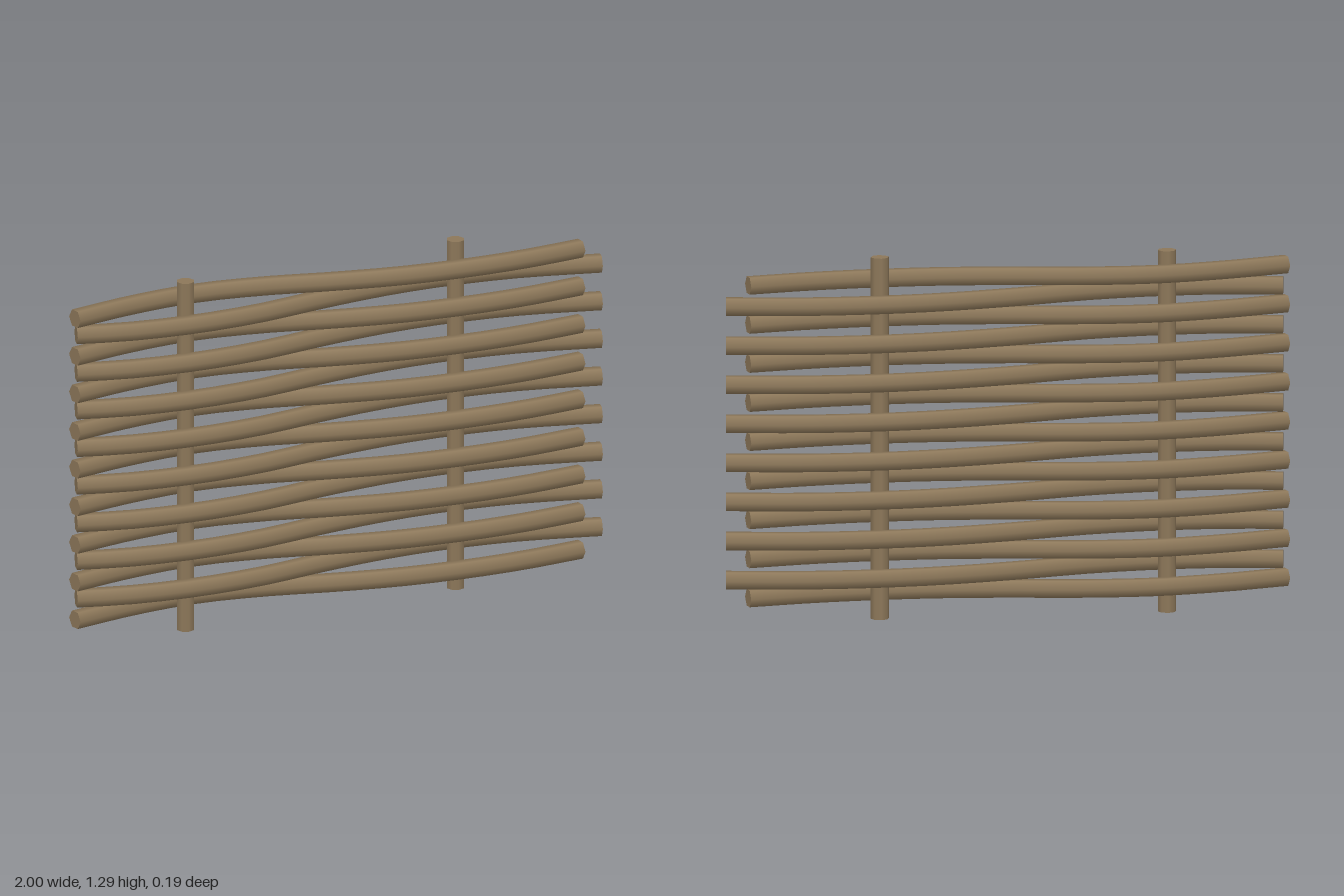
import * as THREE from 'three';

// Bends a six-sided rod lying along x so that it follows a curve in the xz plane
function bentRod(points, radius) {
  const curve = new THREE.CatmullRomCurve3(points.map(([x, z]) => new THREE.Vector3(x, 0, z)));
  const geometry = new THREE.CylinderGeometry(radius, radius, 1, 6, 20);
  geometry.rotateZ(-Math.PI / 2);
  const pos = geometry.attributes.position;
  const nor = geometry.attributes.normal;
  for (let i = 0; i < pos.count; i++) {
    const u = THREE.MathUtils.clamp(pos.getX(i) + 0.5, 0, 1);
    const p = curve.getPointAt(u);
    const t = curve.getTangentAt(u);
    const z = pos.getZ(i);
    pos.setXYZ(i, p.x - t.z * z, pos.getY(i), p.z + t.x * z);
    const nx = nor.getX(i), nz = nor.getZ(i);
    nor.setXYZ(i, t.x * nx - t.z * nz, nor.getY(i), t.z * nx + t.x * nz);
  }
  return geometry;
}

export function createModel() {
  const model = new THREE.Group();
  model.name = 'wovenFence';
  const wood = new THREE.MeshStandardMaterial({ color: 0x8c7759 });
  wood.name = 'brown wood';

  // Upright posts
  for (const [name, x, base] of [['rightPost', -0.565, 0], ['leftPost', 0.45, 0.015]]) {
    const post = new THREE.Mesh(new THREE.CylinderGeometry(0.032, 0.032, 1.28, 8), wood);
    post.name = name;
    post.position.set(x, base + 0.64, -0.002);
    model.add(post);
  }

  // Two alternating weaves, passing on opposite sides of the posts
  const weaves = [
    bentRod([[-0.991, 0.022], [-0.75, -0.035], [-0.5, -0.062], [-0.25, -0.038], [0, 0.013],
      [0.25, 0.05], [0.5, 0.06], [0.7, 0.051], [0.91, 0.024]], 0.034),
    bentRod([[-0.975, -0.005], [-0.8, 0.035], [-0.55, 0.053], [-0.3, 0.035], [-0.05, -0.015],
      [0.2, -0.053], [0.43, -0.064], [0.7, -0.045], [0.991, 0.014]], 0.034),
  ];
  for (let i = 0; i < 17; i++) {
    const rail = new THREE.Mesh(weaves[i % 2], wood);
    rail.name = `rail${i + 1}`;
    rail.position.y = 0.1 + i * 0.0692;
    model.add(rail);
  }
  return model;
}
